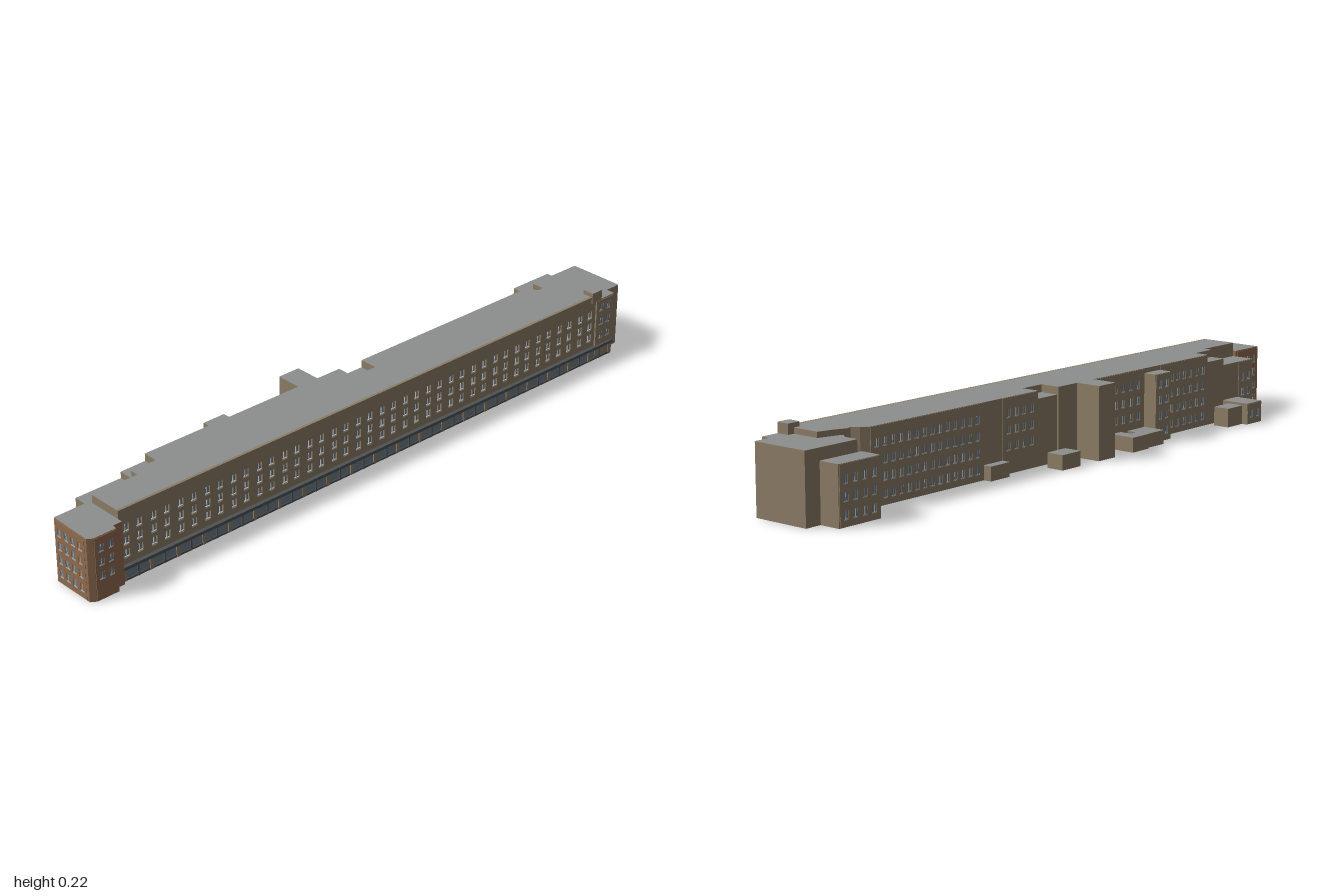
import * as THREE from 'three';

const mat = (color) => new THREE.MeshStandardMaterial({ color, flatShading: true });
const TAN = mat(0x8c7c65), BROWN = mat(0x906c50), ROOF = mat(0x8d8f8f);
const GLASS = mat(0x6d7c86), FRAME = mat(0xb4b6b4), DARK = mat(0x4e5254);

function mesh(name, geometry, material, parent) {
  const m = new THREE.Mesh(geometry, material);
  m.name = name;
  parent.add(m);
  return m;
}

function box(name, x0, x1, y0, y1, z0, z1, material, parent) {
  const m = mesh(name, new THREE.BoxGeometry(x1 - x0, y1 - y0, z1 - z0), material, parent);
  m.position.set((x0 + x1) / 2, (y0 + y1) / 2, (z0 + z1) / 2);
  return m;
}

// Upright prism from a plan outline of [x, z] corners, with a grey roof skin
function block(name, plan, y0, y1, material, parent) {
  const group = new THREE.Group();
  group.name = name;
  const shape = new THREE.Shape(plan.map(([x, z]) => new THREE.Vector2(x, -z)));
  const walls = new THREE.ExtrudeGeometry(shape, { depth: y1 - y0, bevelEnabled: false });
  mesh(name + 'Walls', walls.rotateX(-Math.PI / 2).translate(0, y0, 0), material, group);
  const roof = new THREE.ShapeGeometry(shape).rotateX(-Math.PI / 2);
  mesh(name + 'Roof', roof.translate(0, y1 + 0.0006, 0), ROOF, group);
  parent.add(group);
}

const rect = (x0, x1, z0, z1) => [[x0, z1], [x1, z1], [x1, z0], [x0, z0]];

// Pierced wall skin facing +z with glass and light bars set behind it
function windowWall(name, w, y0, y1, columns, rows, winW, winH, material, depth, parent) {
  const group = new THREE.Group();
  group.name = name;
  const outline = (cx, cy, ww, hh) => [[-1, -1], [1, -1], [1, 1], [-1, 1]]
    .map(([a, b]) => new THREE.Vector2(cx + a * ww / 2, cy + b * hh / 2));
  const shape = new THREE.Shape(outline(0, (y0 + y1) / 2, w, y1 - y0));
  for (const x of columns) for (const y of rows) {
    shape.holes.push(new THREE.Path(outline(x, y, winW, winH).reverse()));
    box('windowBar', x - 0.001, x + 0.001, y - winH / 2, y + winH / 2, 0.0005, depth * 0.6, FRAME, group);
    box('windowSill', x - winW / 2, x + winW / 2, y - winH / 2, y - winH / 2 + 0.003,
      0.0005, depth * 0.8, FRAME, group);
  }
  mesh('wallSkin', new THREE.ExtrudeGeometry(shape, { depth, bevelEnabled: false }), material, group);
  const glass = mesh('glass', new THREE.PlaneGeometry(w * 0.998, y1 - y0 - 0.002), GLASS, group);
  glass.position.set(0, (y0 + y1) / 2, 0.0006);
  parent.add(group);
  return group;
}

const spread = (n, pitch) => Array.from({ length: n }, (_, i) => (i - (n - 1) / 2) * pitch);

export function createModel() {
  const model = new THREE.Group();
  model.name = 'longBuilding';

  // Main range, with the rear tower, the roof notch and the scooped corner
  block('mainRange', [
    [-0.885, 0.109], [0.875, 0.109], [0.875, 0.0], [0.825, -0.012], [0.81, -0.02],
    [0.795, -0.025], [0.778, -0.02], [0.765, -0.04], [0.745, -0.055], [0.1, -0.055], [0.1, 0], [0.02, 0],
    [0.02, -0.06], [-0.06, -0.06], [-0.06, -0.138], [-0.13, -0.138], [-0.13, -0.06],
    [-0.66, -0.06], [-0.66, -0.015], [-0.74, -0.015], [-0.74, 0.01], [-0.885, 0.01],
  ], 0, 0.209, TAN, model);
  block('roofNotchFloor', rect(0.02, 0.1, -0.055, 0), 0, 0.187, TAN, model);

  // Right end block with its rear wing and rooftop hut
  block('rightBlock', [
    [0.875, 0.118], [0.95, 0.118], [0.95, 0.09], [1, 0.09], [1, -0.084],
    [0.82, -0.084], [0.82, -0.04], [0.803, -0.02], [0.875, 0.0],
  ], 0, 0.193, TAN, model);
  block('rightRearWing', rect(0.805, 0.95, -0.147, -0.084), 0, 0.16, TAN, model);
  block('roofHut', rect(0.855, 0.895, 0.082, 0.119), 0.19, 0.222, TAN, model);

  // Left end block in darker brick, with clipped front corners
  block('leftBlock', [
    [-1, 0.135], [-0.985, 0.145], [-0.915, 0.145], [-0.912, 0.13],
    [-0.885, 0.13], [-0.885, 0], [-0.997, 0],
  ], 0, 0.185, BROWN, model);

  // Lower roofs behind the left end, and rear extensions
  const rear = [
    ['leftRearRange', -0.885, -0.74, -0.06, 0.01, 0.168],
    ['leftRearStep', -0.74, -0.66, -0.06, -0.015, 0.187],
    ['rearStairBlock', -0.43, -0.36, -0.1, -0.06, 0.195],
    ['rearAnnexA', -0.81, -0.74, -0.148, -0.06, 0.062],
    ['rearAnnexB', -0.74, -0.67, -0.13, -0.08, 0.055],
    ['rearAnnexC', -0.36, -0.282, -0.13, -0.06, 0.04],
    ['rearAnnexD', -0.282, -0.21, -0.138, -0.1, 0.042],
    ['rearAnnexE', -0.25, -0.21, -0.1, -0.06, 0.042],
    ['rearAnnexF', 0.02, 0.095, -0.138, -0.085, 0.042],
    ['rearAnnexG', 0.245, 0.32, -0.08, -0.055, 0.04],
  ];
  for (const [name, x0, x1, z0, z1, h] of rear) block(name, rect(x0, x1, z0, z1), 0, h, TAN, model);

  // Front facade in paired windows, three storeys
  const pairs = spread(20, 0.088).flatMap((x) => [x - 0.021, x + 0.021]);
  windowWall('frontFacade', 1.76, 0.045, 0.209, pairs, [0.075, 0.112, 0.15], 0.018, 0.025, TAN, 0.006, model)
    .position.set(-0.005, 0, 0.109);
  box('frontCoping', -0.885, 0.875, 0.203, 0.2096, 0.109, 0.117, TAN, model);

  // Ground floor shopfronts: glazing, piers, stall riser and canopy
  const shops = new THREE.Group();
  shops.name = 'shopfronts';
  box('shopGlass', -0.885, 0.945, 0, 0.04, 0.108, 0.1185, GLASS, shops);
  box('stallRiser', -0.885, 0.945, 0, 0.006, 0.11, 0.121, DARK, shops);
  box('canopy', -0.885, 0.945, 0.036, 0.045, 0.108, 0.127, DARK, shops);
  spread(43, 0.0432).forEach((x, i) => {
    const w = i % 2 ? 0.002 : 0.005;
    box('shopPier', 0.03 + x - w, 0.03 + x + w, 0, 0.038, 0.11, 0.122, i % 2 ? DARK : TAN, shops);
  });
  model.add(shops);

  // Window walls on the ends and the back: [name, x, z, turn, width, top, columns, rows, material]
  const storeys = [0.03, 0.075, 0.12, 0.165];
  const back = Math.PI;
  const walls = [
    ['rightFrontBay', 0.91, 0.118, 0, 0.07, 0.19, spread(2, 0.03), storeys.slice(1), TAN],
    ['leftFrontBay', -0.95, 0.145, 0, 0.068, 0.183, spread(2, 0.03), [0.07, 0.11, 0.15], BROWN],
    ['leftEndWall', -0.9985, 0.065, -Math.PI / 2, 0.12, 0.183, spread(4, 0.028), [0.03, 0.07, 0.11, 0.15], BROWN],
    ['leftBackWall', -0.945, 0, back, 0.1, 0.183, spread(3, 0.03), [0.03, 0.07, 0.11, 0.15], BROWN],
    ['backWallRight', 0.535, -0.055, back, 0.42, 0.208, spread(14, 0.029), storeys, TAN],
    ['backWallMiddle', 0.175, -0.055, back, 0.14, 0.208, spread(4, 0.032), storeys.slice(1), TAN],
    ['backWallCourt', -0.245, -0.06, back, 0.22, 0.208, spread(6, 0.034), storeys.slice(1), TAN],
    ['backWallLeft', -0.545, -0.06, back, 0.22, 0.208, spread(7, 0.03), storeys, TAN],
    ['backStairWall', -0.395, -0.1, back, 0.068, 0.194, spread(2, 0.03), storeys, TAN],
    ['backLowerWall', -0.85, -0.06, back, 0.068, 0.167, spread(2, 0.03), storeys.slice(0, 3), TAN],
    ['rearWingWall', 0.8775, -0.147, back, 0.14, 0.159, spread(4, 0.033), storeys.slice(0, 3), TAN],
    ['rearWingSide', 0.805, -0.115, -Math.PI / 2, 0.06, 0.159, spread(2, 0.028), storeys.slice(0, 3), TAN],
    ['annexWall', -0.775, -0.148, back, 0.068, 0.06, spread(2, 0.03), [0.03], TAN],
  ];
  for (const [name, x, z, turn, w, top, columns, rows, material] of walls) {
    const wall = windowWall(name, w, 0.001, top, columns, rows, 0.016, 0.024, material, 0.002, model);
    wall.position.set(x, 0, z);
    wall.rotation.y = turn;
  }
  return model;
}
